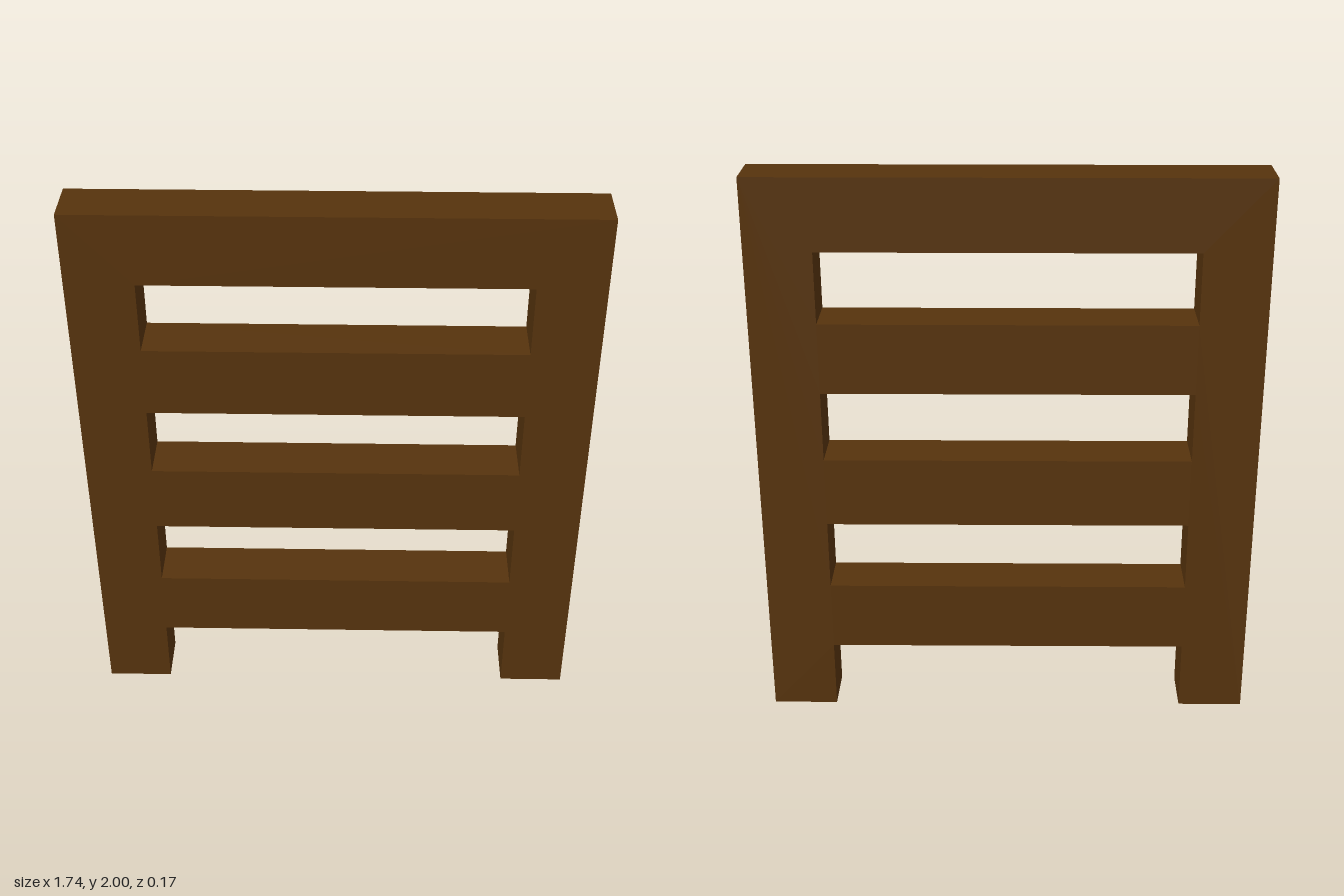
import * as THREE from 'three';

const HALF_WIDTH = 0.87, INNER = 0.64, HEIGHT = 2, STEP = 0.25, DEPTH = 0.174;

export function createModel() {
  const group = new THREE.Group();
  group.name = 'ladder';

  const wood = new THREE.MeshStandardMaterial({ color: 0x56330d });
  wood.name = 'dark brown wood';

  // Outline: two posts with an open gap between the feet
  const outline = new THREE.Shape([
    [-HALF_WIDTH, 0], [-INNER, 0], [-INNER, STEP], [INNER, STEP],
    [INNER, 0], [HALF_WIDTH, 0], [HALF_WIDTH, HEIGHT], [-HALF_WIDTH, HEIGHT],
  ].map(([x, y]) => new THREE.Vector2(x, y)));

  // Three openings leave four wide rungs, joined flush to the posts
  for (let i = 1; i <= 3; i++) {
    const bottom = i * 2 * STEP, top = bottom + STEP;
    outline.holes.push(new THREE.Path([
      new THREE.Vector2(-INNER, bottom), new THREE.Vector2(-INNER, top),
      new THREE.Vector2(INNER, top), new THREE.Vector2(INNER, bottom),
    ]));
  }

  const geometry = new THREE.ExtrudeGeometry(outline, { depth: DEPTH, bevelEnabled: false });
  geometry.translate(0, 0, -DEPTH / 2);
  const frame = new THREE.Mesh(geometry, wood);
  frame.name = 'postsAndRungs';
  group.add(frame);
  return group;
}
